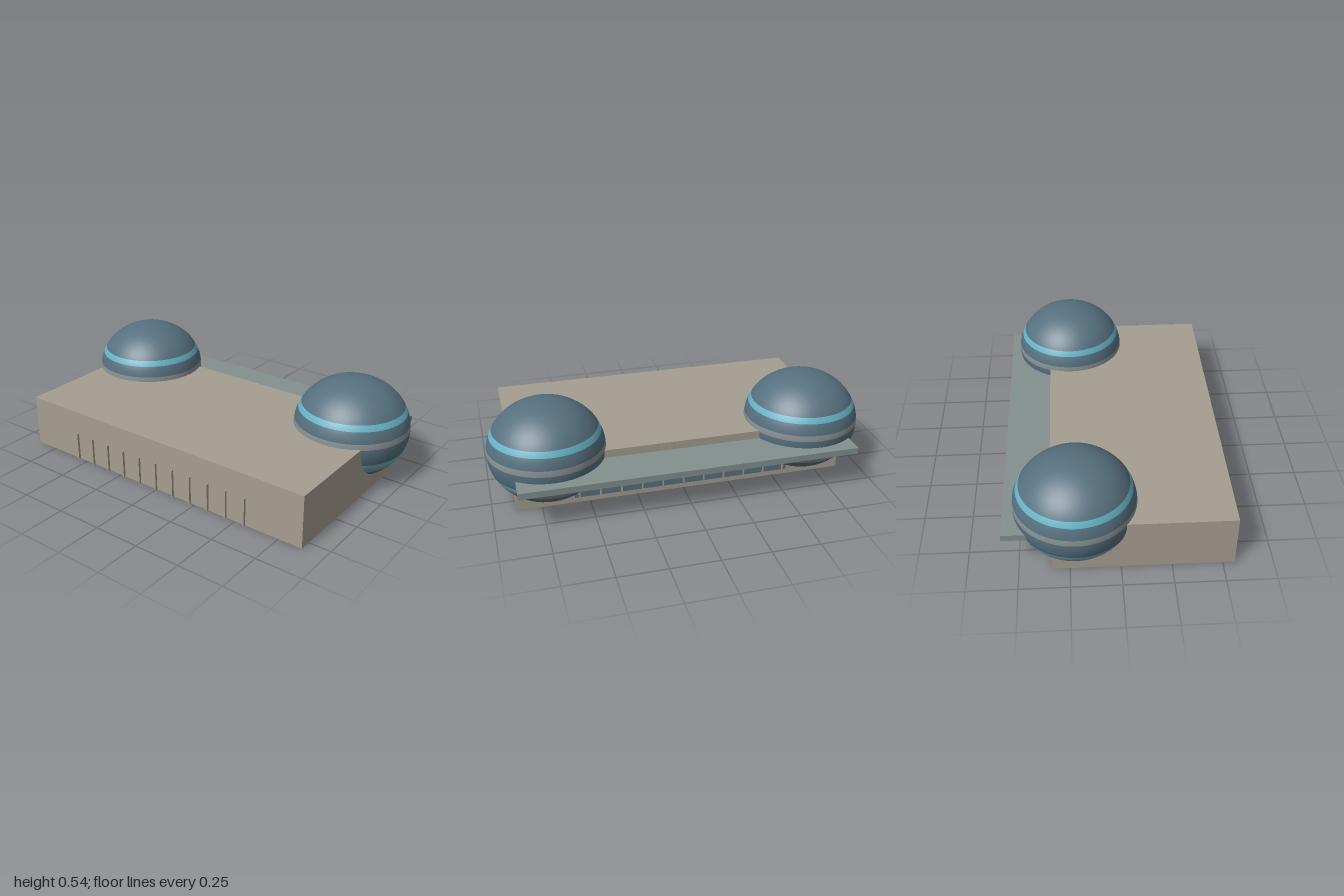
import * as THREE from 'three';

const material = (name, color) => {
  const m = new THREE.MeshStandardMaterial({ color });
  m.name = name;
  return m;
};

export function createModel() {
  const stone = material('stone', 0xa59d90);
  const glass = material('blue glass', 0x56707f);
  const cyan = material('cyan band', 0x67b3c5);
  const grey = material('grey band', 0x8b9292);
  const metal = material('canopy metal', 0x82908e);

  const model = new THREE.Group();
  model.name = 'building';

  // Box given by its minimum and maximum corners
  const box = (name, mat, [x0, y0, z0], [x1, y1, z1], parent = model) => {
    const mesh = new THREE.Mesh(new THREE.BoxGeometry(x1 - x0, y1 - y0, z1 - z0), mat);
    mesh.position.set((x0 + x1) / 2, (y0 + y1) / 2, (z0 + z1) / 2);
    mesh.name = name;
    parent.add(mesh);
  };

  // Main hall, rear canopy and rear glazing
  box('hall', stone, [-0.88, 0, -0.34], [0.88, 0.283, 0.56]);
  box('canopy', metal, [-0.879, 0.206, -0.573], [0.879, 0.24, 0.28]);
  box('rearGlazing', glass, [-0.58, 0.03, -0.346], [0.58, 0.206, -0.338]);

  // Vertical fins along the front and rear walls
  for (let i = -5; i <= 5; i++) {
    const x = i * 0.1112;
    box('frontFin', stone, [x - 0.004, 0, 0.555], [x + 0.004, 0.155, 0.573]);
    box('rearFin', stone, [x - 0.004, 0.03, -0.352], [x + 0.004, 0.206, -0.338]);
  }

  // Corner domes: flattened spheres built from stacked coloured zones
  const radius = 0.305, height = 0.267, centreY = 0.274;
  const zones = [
    [0.541, 0.4, glass], [0.4, 0.37, cyan], [0.37, 0.31, glass], [0.31, 0.278, grey],
    [0.278, 0.182, glass], [0.182, 0.15, cyan], [0.15, 0.121, grey], [0.121, 0.007, glass],
  ];
  const angle = (y) => Math.acos(THREE.MathUtils.clamp((y - centreY) / height, -1, 1));
  for (const side of [-1, 1]) {
    const dome = new THREE.Group();
    dome.name = side > 0 ? 'leftDome' : 'rightDome';
    dome.position.set(side * 0.695, centreY, -0.217);
    for (const [top, bottom, mat] of zones) {
      const start = angle(top), sweep = angle(bottom) - start;
      const rows = Math.max(2, Math.ceil(sweep / 0.08));
      const geometry = new THREE.SphereGeometry(radius, 64, rows, 0, Math.PI * 2, start, sweep);
      geometry.scale(1, height / radius, 1);
      const zone = new THREE.Mesh(geometry, mat);
      zone.name = 'domeZone';
      dome.add(zone);
    }
    model.add(dome);
  }
  return model;
}
